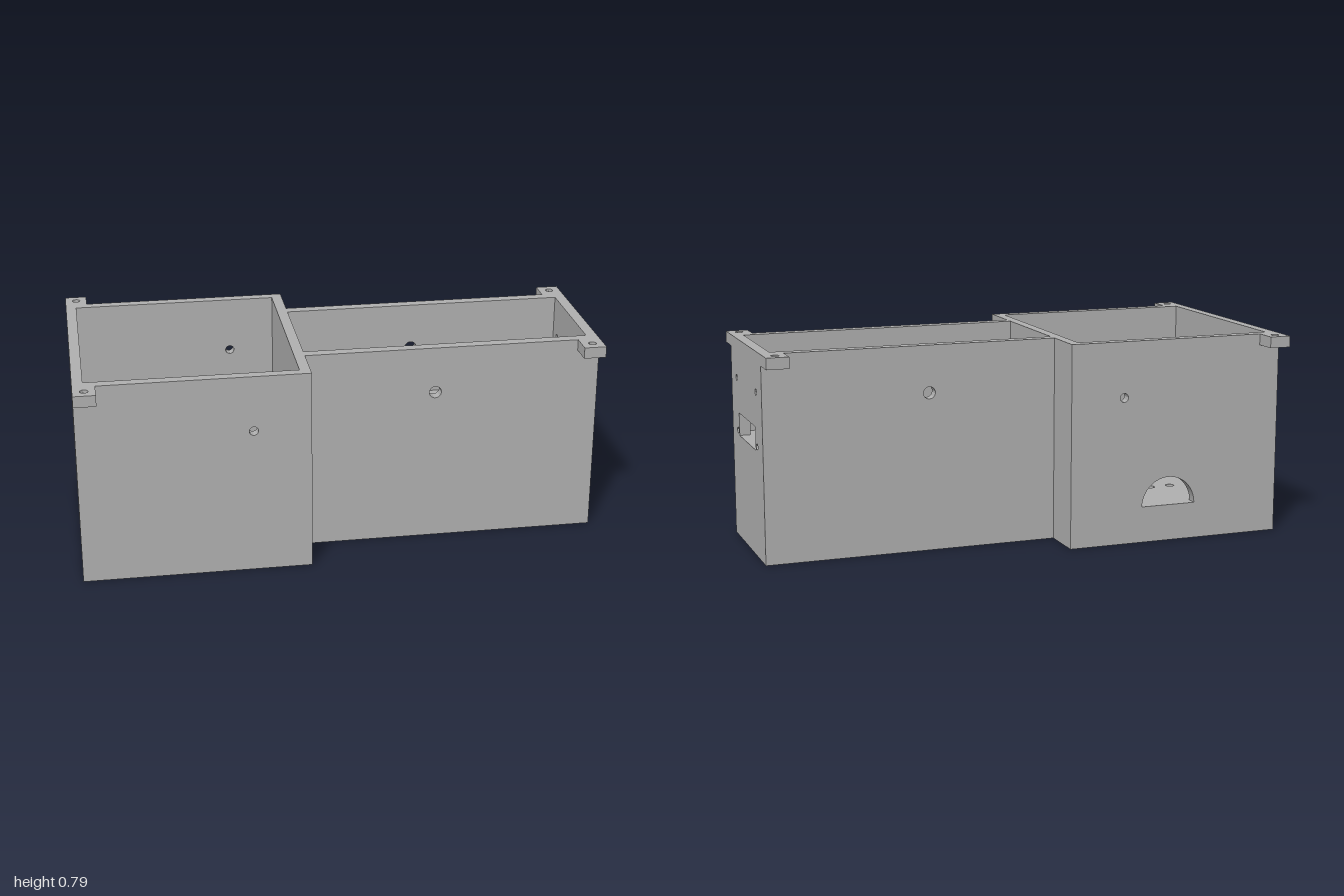
import * as THREE from 'three';
import { toCreasedNormals } from 'three/addons/utils/BufferGeometryUtils.js';

const H = 0.785; // overall height

// Hole outlines
function circle(x, y, r, from = 0, to = Math.PI * 2) {
  const p = new THREE.Path();
  p.absarc(x, y, r, from, to, false);
  p.closePath();
  return p;
}

function rect(x0, x1, y0, y1, Type = THREE.Path) {
  const p = new Type();
  p.moveTo(x0, y0);
  p.lineTo(x1, y0);
  p.lineTo(x1, y1);
  p.lineTo(x0, y1);
  p.closePath();
  return p;
}

// Rectangular plate with holes, extruded towards +z
function plate(x0, x1, y0, y1, depth, holes = []) {
  const shape = rect(x0, x1, y0, y1, THREE.Shape);
  shape.holes.push(...holes);
  const geo = new THREE.ExtrudeGeometry(shape, { depth, bevelEnabled: false, curveSegments: 28 });
  return toCreasedNormals(geo, 0.6);
}

export function createModel() {
  const model = new THREE.Group();
  const grey = new THREE.MeshStandardMaterial({ color: 0xb0b0b0 });
  grey.name = 'grey plastic';

  function add(name, geo) {
    const mesh = new THREE.Mesh(geo, grey);
    mesh.name = name;
    model.add(mesh);
  }
  // Plate standing along x, with its back at z
  const wallX = (name, x0, x1, z, t, holes) =>
    add(name, plate(x0, x1, 0, H, t, holes).translate(0, 0, z));
  // Plate standing along z (outline x is -z), starting at x
  const wallZ = (name, x, t, halfZ, holes) =>
    add(name, plate(-halfZ, halfZ, 0, H, t, holes).rotateY(Math.PI / 2).translate(x, 0, 0));
  // Plate lying flat from y0 to y1 (outline y is -z)
  const slab = (name, x0, x1, z0, z1, y0, y1, holes) =>
    add(name, plate(x0, x1, -z1, -z0, y1 - y0, holes).rotateX(-Math.PI / 2).translate(0, y0, 0));
  // Grid of round holes
  const grid = (xs, ys, r) => xs.flatMap((x) => ys.map((y) => circle(x, y, r)));

  // Large compartment
  const cableHole = () => circle(-0.35, 0.57, 0.017);
  wallX('largeFrontWall', -1, -0.135, 0.395, 0.04, [cableHole()]);
  wallX('largeBackWall', -1, -0.135, -0.435, 0.04,
    [cableHole(), circle(-0.54, 0.14, 0.11, 0, Math.PI)]);
  wallZ('largeEndWall', -1, 0.04, 0.395);
  wallZ('partition', -0.175, 0.04, 0.395, [circle(0, 0.437, 0.066, -0.4, Math.PI + 0.4)]);
  slab('largeFloor', -0.96, -0.175, -0.395, 0.395, 0, 0.14,
    grid([-0.685, -0.6], [-0.145, 0.145], 0.017));

  // Small compartment
  const sideHole = () => circle(0.365, 0.605, 0.023);
  wallX('smallFrontWall', -0.135, 1, 0.218, 0.042, [sideHole()]);
  wallX('smallBackWall', -0.135, 1, -0.26, 0.042, [sideHole()]);
  wallZ('smallEndWall', 0.958, 0.042, 0.218,
    [rect(-0.14, 0.14, 0.41, 0.498), ...grid([-0.165, 0.165], [0.427, 0.632], 0.012)]);

  // Raised solid floor with blind screw holes below and above
  const layers = [
    ['smallFloorBottom', 0, 0.12, grid([0.285, 0.435], [-0.12, 0.12], 0.02)],
    ['smallFloorCore', 0.12, 0.34, []],
    ['smallFloorTop', 0.34, 0.41, grid([0.22, 0.51], [0], 0.016)],
  ];
  for (const [name, y0, y1, holes] of layers) {
    slab(name, -0.135, 0.958, -0.218, 0.218, y0, y1, holes);
  }

  // Mounting tabs at the four corners
  for (const s of [-1, 1]) {
    const side = s > 0 ? 'Front' : 'Back';
    const tab = (name, x0, x1, za, zb, hx, hz) =>
      slab(name + side, x0, x1, Math.min(s * za, s * zb), Math.max(s * za, s * zb), 0.742, H,
        [circle(hx, -s * hz, 0.015)]);
    tab('largeTab', -1, -0.917, 0.435, 0.522, -0.958, 0.479);
    tab('smallTab', 0.915, 1, 0.26, 0.348, 0.957, 0.305);
  }
  return model;
}
